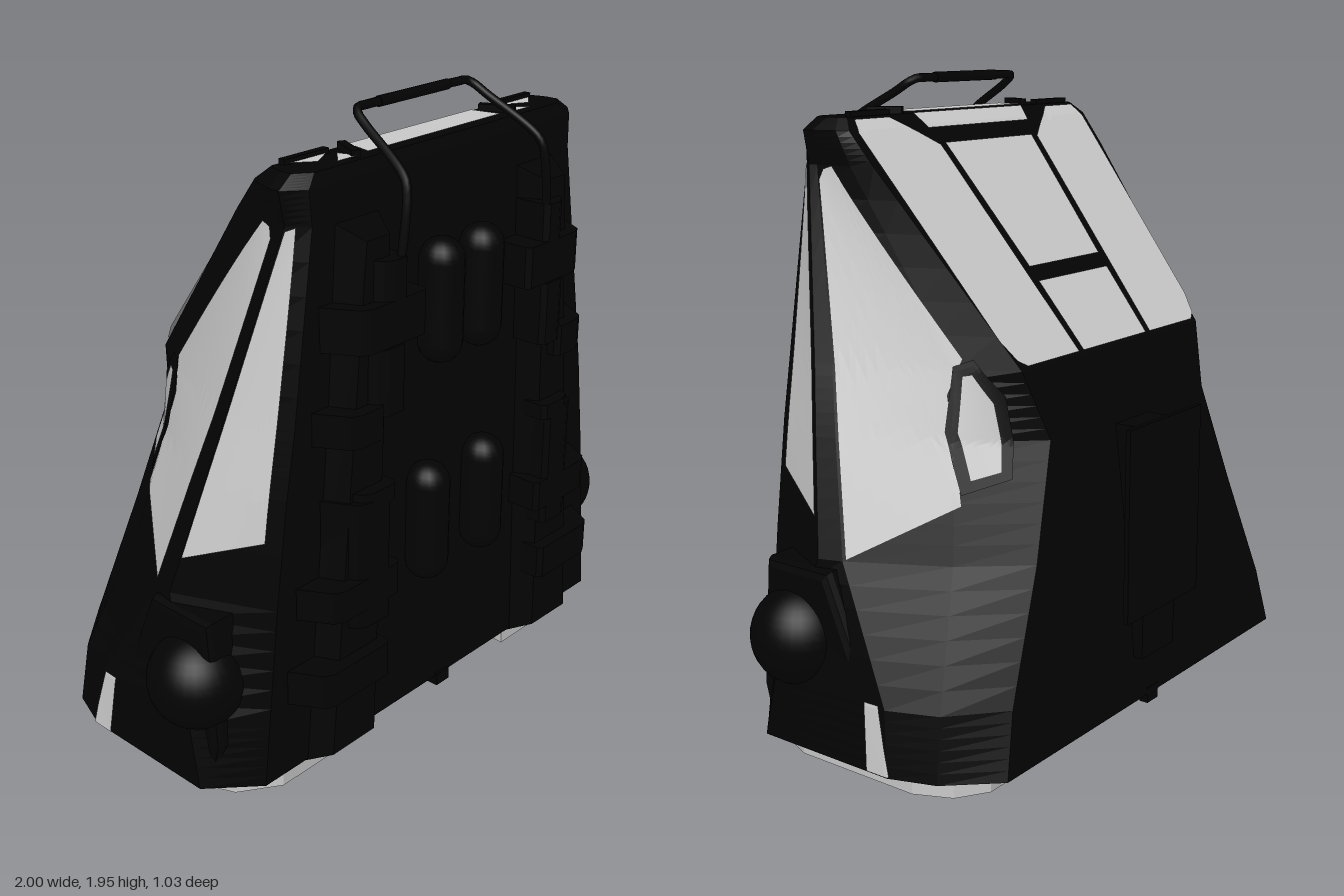
import * as THREE from 'three';

const mat = (name, color) => {
  const m = new THREE.MeshStandardMaterial({ color, side: THREE.DoubleSide });
  m.name = name;
  return m;
};

// Half cross-sections: y, then [x, z] of front corner, two side ridges, rear chamfer, back corner
const LEVELS = [
  [0.06, [0.79, 0.40], [0.93, 0.27], [0.93, -0.20], [0.88, -0.34], [0.75, -0.485]],
  [0.25, [0.77, 0.40], [0.925, 0.23], [0.91, -0.18], [0.85, -0.33], [0.70, -0.465]],
  [0.62, [0.73, 0.40], [0.865, 0.10], [0.84, 0.03], [0.69, -0.25], [0.54, -0.43]],
  [0.95, [0.685, 0.40], [0.786, 0.172], [0.765, 0.115], [0.60, -0.19], [0.42, -0.39]],
  [1.15, [0.65, 0.40], [0.737, 0.215], [0.715, 0.167], [0.56, -0.165], [0.475, -0.33]],
  [1.70, [0.565, 0.39], [0.612, 0.335], [0.605, 0.31], [0.595, 0.19], [0.575, 0.118]],
  [1.80, [0.57, 0.385], [0.632, 0.335], [0.63, 0.30], [0.608, 0.23], [0.585, 0.20]],
  [1.835, [0.53, 0.365], [0.58, 0.33], [0.58, 0.29], [0.57, 0.255], [0.555, 0.235]],
];

// Half section at any height
function section(y) {
  let i = 0;
  while (i < LEVELS.length - 2 && y > LEVELS[i + 1][0]) i++;
  const a = LEVELS[i], b = LEVELS[i + 1], t = (y - a[0]) / (b[0] - a[0]);
  return [1, 2, 3, 4, 5].map(k => [0, 1].map(c => a[k][c] + (b[k][c] - a[k][c]) * t));
}

// Point on the flank for a given z and y
function flank(z, y, side, lift) {
  const s = section(y);
  let k = 0;
  while (k < 3 && z < s[k + 1][1]) k++;
  const t = (z - s[k][1]) / (s[k + 1][1] - s[k][1]);
  return [side * (s[k][0] + (s[k + 1][0] - s[k][0]) * t + lift), y, z];
}

// Point on the sloping back for a given x and y
const rear = (x, y, side, lift) => [side * x, y + lift * 0.5, section(y)[4][1] - lift];

// Convex outline draped over a hull surface
function drape(outline, surface, side, lift) {
  const n = 10, pos = [];
  const c = [0, 1].map(k => outline.reduce((sum, p) => sum + p[k], 0) / outline.length);
  outline.forEach((a, i) => {
    const b = outline[(i + 1) % outline.length];
    const at = (u, v) => surface(
      c[0] + (a[0] - c[0]) * u / n + (b[0] - c[0]) * v / n,
      c[1] + (a[1] - c[1]) * u / n + (b[1] - c[1]) * v / n, side, lift);
    for (let u = 0; u < n; u++) for (let v = 0; u + v < n; v++) {
      pos.push(...at(u, v), ...at(u + 1, v), ...at(u, v + 1));
      if (u + v < n - 1) pos.push(...at(u + 1, v), ...at(u + 1, v + 1), ...at(u, v + 1));
    }
  });
  return fromPositions(pos);
}

function fromPositions(pos) {
  const g = new THREE.BufferGeometry();
  g.setAttribute('position', new THREE.Float32BufferAttribute(pos, 3));
  g.computeVertexNormals();
  return g;
}

const mirrored = s => [...s, ...s.slice().reverse().map(p => [-p[0], p[1]])];

function hullGeometry() {
  const pos = [], rings = [];
  for (let i = 0; i < LEVELS.length - 1; i++) for (let j = 0; j < 6; j++)
    rings.push(LEVELS[i][0] + (LEVELS[i + 1][0] - LEVELS[i][0]) * j / 6);
  rings.push(LEVELS[LEVELS.length - 1][0]);
  const loops = rings.map(y => mirrored(section(y)).map(p => [p[0], y, p[1]]));
  for (let r = 0; r < loops.length - 1; r++) for (let k = 0; k < 10; k++) {
    const a = loops[r][k], b = loops[r][(k + 1) % 10], c = loops[r + 1][(k + 1) % 10], d = loops[r + 1][k];
    pos.push(...a, ...b, ...c, ...a, ...c, ...d);
  }
  const top = loops[loops.length - 1];
  for (let k = 1; k < 9; k++) pos.push(...top[0], ...top[k], ...top[k + 1]);
  return fromPositions(pos);
}

const shapeOf = pts => new THREE.Shape(pts.map(p => new THREE.Vector2(p[0], p[1])));

// Flat plate facing up, outline given as x, z
const roofPlate = pts => new THREE.ShapeGeometry(shapeOf(pts.map(p => [p[0], -p[1]]))).rotateX(-Math.PI / 2);

// Strap or pouch whose outer end slopes back to the shell
function strapGeometry(side, inner, outer, h) {
  const plan = [[inner, 0.38], [inner, 0.495], [inner + 0.015, 0.51], [outer - 0.09, 0.51], [outer - 0.06, 0.495], [outer, 0.39]];
  return new THREE.ExtrudeGeometry(shapeOf(plan.map(p => [side * p[0], -p[1]])), { depth: h, bevelEnabled: false })
    .rotateX(-Math.PI / 2);
}

export function createModel() {
  const root = new THREE.Group();
  const black = mat('shell black', 0x030303), pale = mat('pale grey', 0xcccccc);
  const add = (name, geo, material, x = 0, y = 0, z = 0) => {
    const m = new THREE.Mesh(geo, material);
    m.name = name;
    m.position.set(x, y, z);
    root.add(m);
    return m;
  };
  const box = (name, w, h, d, x, y, z) => add(name, new THREE.BoxGeometry(w, h, d), black, x, y, z);

  add('shell', hullGeometry(), black);

  // Underside with a round opening, and the hollow above it
  const floor = shapeOf(mirrored(section(0.06)));
  floor.holes.push(new THREE.Path().absarc(0, -0.04, 0.41, 0, Math.PI * 2, true));
  add('underside', new THREE.ShapeGeometry(floor, 32).rotateX(Math.PI / 2), black, 0, 0.06, 0);
  add('innerHollow', new THREE.LatheGeometry(
    [[0.41, 0.06], [0.39, 0.16], [0.37, 0.5], [0.33, 0.85], [0, 0.9]].map(p => new THREE.Vector2(...p)), 40),
    pale, 0, 0, -0.04);
  box('frontLatch', 0.06, 0.04, 0.04, 0, 0.05, 0.39);
  box('backLatch', 0.06, 0.05, 0.03, 0, 0.055, -0.47);

  // Back rail
  box('backRailStem', 0.18, 0.73, 0.13, 0, 0.565, -0.435);
  box('backRailPlate', 0.4, 0.6, 0.016, 0, 0.65, -0.508);

  // Middle back windows
  add('backWindowUpper', drape([[-0.183, 1.39], [0.183, 1.39], [0.218, 1.745], [-0.218, 1.745]], rear, 1, 0.006), pale);
  add('backWindowLower', drape([[-0.17, 1.158], [0.17, 1.158], [0.181, 1.35], [-0.181, 1.35]], rear, 1, 0.006), pale);

  // Roof window, folded over the rear edge
  add('roofWindow', roofPlate([[-0.27, 0.24], [0.27, 0.24], [0.29, 0.335], [-0.29, 0.335]]), pale, 0, 1.84, 0);
  add('roofWindowRear', drape([[-0.25, 1.79], [0.25, 1.79], [0.27, 1.834], [-0.27, 1.834]], rear, 1, 0.004), pale);

  for (const s of [1, -1]) {
    // Windows
    add('backWindowOuter', drape([[0.193, 1.158], [0.445, 1.158], [0.475, 1.175], [0.5, 1.23], [0.56, 1.79], [0.54, 1.826], [0.39, 1.826], [0.3, 1.775], [0.243, 1.74]], rear, s, 0.006), pale);
    add('frontSideWindow', drape([[0.362, 1.70], [0.34, 1.69], [0.132, 0.735], [0.357, 0.82]], flank, s, 0.008), pale);
    add('largeSideWindow', drape([[0.29, 1.66], [0.28, 1.69], [0.25, 1.70], [-0.18, 1.18], [-0.155, 1.08], [-0.24, 0.78], [0.018, 0.625]], flank, s, 0.008), pale);
    add('smallWindowFrame', drape([[-0.16, 1.16], [-0.21, 1.18], [-0.295, 1.08], [-0.335, 0.85], [-0.235, 0.81], [-0.165, 0.98]], flank, s, 0.012), black);
    add('smallWindow', drape([[-0.19, 1.135], [-0.215, 1.14], [-0.272, 1.06], [-0.312, 0.87], [-0.25, 0.848], [-0.198, 0.98]], flank, s, 0.018), pale);
    add('sideStripe', drape([[-0.11, 0.26], [-0.16, 0.26], [-0.21, 0.065], [-0.13, 0.065]], flank, s, 0.006), pale);
    add('roofSideWindow', roofPlate([[s * 0.38, 0.265], [s * 0.52, 0.265], [s * 0.46, 0.31]]), pale, 0, 1.84, 0);
    add('roofCornerWindow', roofPlate([[s * 0.34, 0.345], [s * 0.42, 0.345], [s * 0.36, 0.285]]), pale, 0, 1.84, 0);
    box('roofRidge', 0.17, 0.025, 0.022, s * 0.45, 1.838, 0.25);
    box('roofBrace', 0.025, 0.03, 0.11, s * 0.325, 1.84, 0.295).rotation.y = s * 0.45;

    // Round hip with its housing
    const housing = new THREE.ExtrudeGeometry(
      shapeOf([[-0.26, 0.57], [-0.06, 0.57], [0.07, 0.27], [-0.05, 0.2], [-0.27, 0.12], [-0.29, 0.2]]),
      { depth: 0.12, bevelEnabled: true, bevelThickness: 0.025, bevelSize: 0.025, bevelSegments: 2 });
    add('hipHousing', housing.rotateY(Math.PI / 2), black, s > 0 ? 0.75 : -0.87);
    add('hipDome', new THREE.SphereGeometry(0.15, 32, 20), black, s * 0.85, 0.37, 0.19);

    // Tapered front column with sloping edges
    const column = shapeOf([[s * 0.38, 0.07], [s * 0.6, 0.07], [s * 0.46, 1.67], [s * 0.33, 1.67]]);
    add('frontColumn', new THREE.ExtrudeGeometry(column,
      { depth: 0.02, bevelEnabled: true, bevelThickness: 0.08, bevelSize: 0.04, bevelOffset: -0.02, bevelSegments: 1 }),
      black, 0, 0, 0.37);

    // Straps and pouches: inner x, outer x, bottom y, height
    for (const [a, b, y, h] of [[0.37, 0.70, 0.295, 0.11], [0.33, 0.66, 0.56, 0.1], [0.37, 0.56, 0.5, 0.4],
      [0.35, 0.54, 0.875, 0.05], [0.40, 0.59, 1.08, 0.1], [0.315, 0.48, 1.14, 0.2], [0.23, 0.55, 1.345, 0.13], [0.31, 0.46, 1.45, 0.14]])
      add('strap', strapGeometry(s, a, b, h), black, 0, y, 0);

    // Rounded front pods: x, y, total height
    for (const [x, y, h] of [[0.09, 1.385, 0.38], [0.13, 0.69, 0.39]])
      add('frontPod', new THREE.CapsuleGeometry(0.068, h - 0.136, 8, 16), black, s * x, y, 0.437);

    // Base pad, cut by the round opening
    const pad = shapeOf([[0.35, -0.38], [0.7, -0.38], [0.82, -0.3], [0.87, -0.18], [0.87, 0.24], [0.82, 0.35], [0.73, 0.41], [0.35, 0.41]]
      .map(p => [s * p[0], p[1]]));
    for (let i = 0; i <= 12; i++) {
      const a = 0.55 - 1.1 * i / 12;
      pad.lineTo(s * 0.43 * Math.cos(a), 0.04 + 0.43 * Math.sin(a));
    }
    add('basePad', new THREE.ExtrudeGeometry(pad, { depth: 0.07, bevelEnabled: false }).rotateX(-Math.PI / 2), pale);
  }

  // Carrying handle
  const half = [[0.36, 1.3, 0.485], [0.33, 1.55, 0.49], [0.307, 1.74, 0.49], [0.298, 1.79, 0.475],
    [0.262, 1.9, 0.3], [0.252, 1.925, 0.262], [0.235, 1.936, 0.247], [0.2, 1.937, 0.245]];
  const path = mirrored(half.map((p, i) => [p[0], i]))
    .map(([x, i]) => new THREE.Vector3(x, half[i][1], half[i][2]));
  add('handle', new THREE.TubeGeometry(new THREE.CatmullRomCurve3(path, false, 'centripetal'), 120, 0.013, 10), black);
  add('handleGrip', new THREE.CylinderGeometry(0.016, 0.016, 0.3, 12).rotateZ(Math.PI / 2), black, 0, 1.937, 0.245);
  return root;
}
